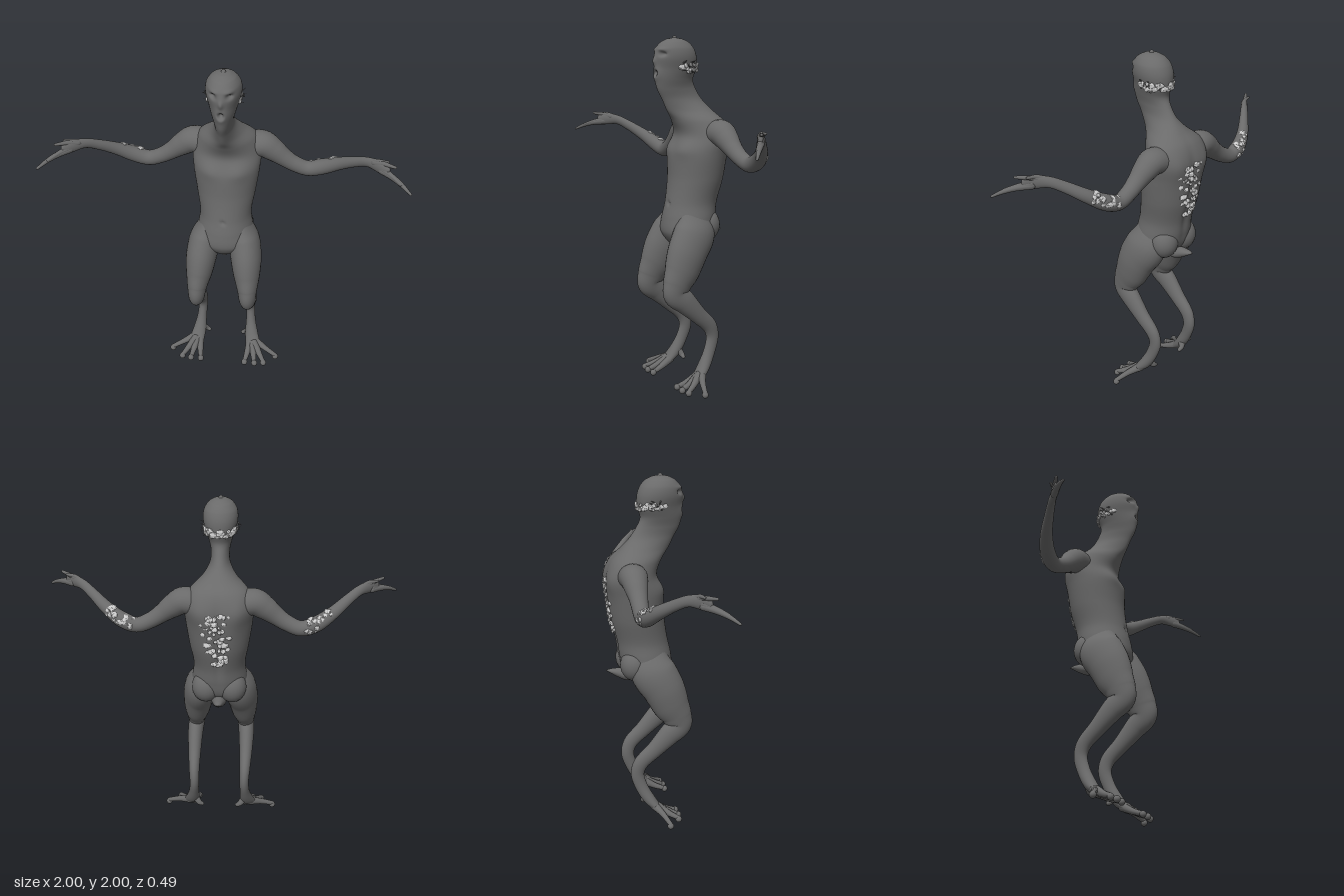
import * as THREE from 'three';
import { mergeGeometries } from 'three/addons/utils/BufferGeometryUtils.js';

const V = (x, y, z) => new THREE.Vector3(x, y, z);
const skin = new THREE.MeshStandardMaterial({ color: 0x6a6a6a });
const pale = new THREE.MeshStandardMaterial({ color: 0xcccccc });

let seed = 7;
const rnd = () => (seed = (seed * 16807) % 2147483647) / 2147483647;

// Smooth tube through stations [x, y, z, ru, rv, skew]; ru runs along ref.
// skew widens one side of the section; level keeps all sections horizontal.
function loft(stations, ref, { rings = 40, sides = 20, level = false, warp = null } = {}) {
  const path = new THREE.CatmullRomCurve3(stations.map(s => V(s[0], s[1], s[2])));
  const size = new THREE.CatmullRomCurve3(stations.map(s => V(s[3], s[4], s[5] || 0)), false, 'catmullrom');
  const frame = t => {
    const dir = level ? V(0, 1, 0) : path.getTangent(t);
    const u = ref.clone().addScaledVector(dir, -ref.dot(dir)).normalize();
    return { c: path.getPoint(t), r: size.getPoint(t), dir, u, v: dir.clone().cross(u) };
  };
  const at = (t, a, k = 1, push = 0) => {
    const f = frame(t), h = Math.min(f.r.x, f.r.y) * push;
    return f.c.addScaledVector(f.dir, h)
      .addScaledVector(f.u, f.r.x * k * Math.cos(a) * (1 + f.r.z * Math.sin(a)))
      .addScaledVector(f.v, f.r.y * k * Math.sin(a));
  };
  // rows: rounded start cap, body, rounded end cap
  const rows = [], cap = 5;
  for (let i = 0; i < cap; i++) { const q = (1 - i / cap) * 1.56; rows.push([0, Math.cos(q), -Math.sin(q)]); }
  for (let i = 0; i <= rings; i++) rows.push([i / rings, 1, 0]);
  for (let i = 1; i <= cap; i++) { const q = (i / cap) * 1.56; rows.push([1, Math.cos(q), Math.sin(q)]); }
  const pos = [], idx = [];
  rows.forEach(([t, k, push], i) => {
    for (let j = 0; j < sides; j++) {
      const p = at(t, (j / sides) * Math.PI * 2, k, push);
      if (warp) warp(p, (j / sides) * Math.PI * 2);
      pos.push(p.x, p.y, p.z);
      if (i === rows.length - 1) continue;
      const a = i * sides + j, b = i * sides + (j + 1) % sides;
      idx.push(a, b, a + sides, b, b + sides, a + sides);
    }
  });
  const geometry = new THREE.BufferGeometry();
  geometry.setAttribute('position', new THREE.Float32BufferAttribute(pos, 3));
  geometry.setIndex(idx);
  geometry.computeVertexNormals();
  return { geometry, at, path };
}

// Flat pebble lying on a surface, facing along normal n
function scale(p, n, r) {
  const g = new THREE.IcosahedronGeometry(r, 0);
  g.scale(0.6 + rnd() * 0.5, 0.8 + rnd() * 0.5, 0.45);
  g.rotateZ(rnd() * 6);
  g.applyQuaternion(new THREE.Quaternion().setFromUnitVectors(V(0, 0, 1), n.clone().normalize()));
  return g.translate(p.x, p.y, p.z);
}

// Soft bump used for face and muscle relief
const blob = (x, y, cx, cy, rx, ry) => Math.exp(-(((x - cx) / rx) ** 2) - ((y - cy) / ry) ** 2);

function relief(p, a) {
  const ax = Math.abs(p.x);
  if (Math.sin(a) < 0) {
    p.z += 0.014 * blob(p.x, p.y, 0, 1.862, 0.012, 0.022)      // nose
      + 0.008 * blob(ax, p.y, 0.04, 1.925, 0.025, 0.01)        // brows
      - 0.024 * blob(ax, p.y, 0.043, 1.9, 0.015, 0.012)        // eye sockets
      + 0.016 * blob(p.x, p.y, 0, 1.795, 0.032, 0.034)         // lips
      - 0.042 * blob(p.x, p.y, 0, 1.797, 0.014, 0.015)         // open mouth
      + 0.012 * blob(ax, p.y, 0.09, 1.38, 0.06, 0.05)          // chest
      - 0.012 * blob(p.x, p.y, 0, 1.065, 0.012, 0.012);        // navel
  } else {
    p.z += 0.016 * blob(p.x, p.y, 0, 1.22, 0.025, 0.24)        // spine furrow
      - 0.012 * blob(ax, p.y, 0.11, 1.42, 0.05, 0.08);         // shoulder blades
  }
}

export function createModel() {
  const root = new THREE.Group();
  const add = (name, geometry, material = skin, parent = root) => {
    const m = new THREE.Mesh(geometry, material);
    m.name = name;
    parent.add(m);
    return m;
  };

  // Torso, neck and head: [y, front z, back z, half width, skew to the back]
  const body = [
    [0.80, 0.07, -0.01, 0.025, 0], [0.84, 0.12, -0.07, 0.10, 0], [0.90, 0.155, -0.13, 0.165, 0],
    [0.98, 0.15, -0.155, 0.157, 0], [1.07, 0.13, -0.17, 0.147, 0], [1.20, 0.11, -0.205, 0.167, 0],
    [1.35, 0.10, -0.225, 0.187, 0], [1.45, 0.065, -0.225, 0.19, 0.1], [1.53, 0.095, -0.195, 0.155, 0.3],
    [1.59, 0.135, -0.14, 0.09, 0.4], [1.65, 0.165, -0.085, 0.055, 0.2], [1.71, 0.197, -0.045, 0.052, 0.1],
    [1.76, 0.208, -0.025, 0.063, 0.12], [1.82, 0.208, -0.042, 0.081, 0.15], [1.88, 0.213, -0.042, 0.094, 0.12],
    [1.93, 0.20, -0.025, 0.089, 0.08], [1.965, 0.168, 0.005, 0.066, 0], [1.983, 0.13, 0.045, 0.036, 0],
    [1.988, 0.1, 0.075, 0.012, 0]
  ];
  const torso = loft(body.map(([y, f, b, w, k]) => [0, y, (f + b) / 2, w, (f - b) / 2, k]), V(1, 0, 0),
    { rings: 200, sides: 80, level: true, warp: relief });
  add('bodyAndHead', torso.geometry);
  const onBody = (y, a) => {
    let lo = 0, hi = 1;
    for (let i = 0; i < 24; i++) { const m = (lo + hi) / 2; torso.path.getPoint(m).y < y ? lo = m : hi = m; }
    const p = torso.at(lo, a), n = p.clone().sub(torso.path.getPoint(lo)).setY(0);
    return { p, n };
  };

  // Stubby tail
  add('tail', loft([[0, 0.9, -0.04, 0.05, 0.05], [0, 0.855, -0.09, 0.045, 0.037], [0, 0.868, -0.15, 0.032, 0.028],
    [0, 0.88, -0.195, 0.02, 0.014], [0, 0.885, -0.222, 0.004, 0.004]], V(1, 0, 0)).geometry);

  for (const s of [1, -1]) {
    const side = s > 0 ? 'left' : 'right';
    const limb = (name, pts, ref, parent, opt) => {
      const l = loft(pts.map(([x, ...r]) => [x * s, ...r]), ref, opt);
      add(name, l.geometry, skin, parent);
      return l;
    };
    const digit = (name, pts, r, parent) => limb(name,
      pts.map((p, i) => [...p, r[i], r[i]]), V(0, 0.2, 1).normalize(), parent, { rings: 14, sides: 10 });

    // Buttock
    const seat = add(side + 'Buttock', new THREE.SphereGeometry(0.085, 24, 16));
    seat.scale.set(0.95, 1.1, 0.95);
    seat.position.set(0.075 * s, 0.935, -0.075);

    // Arm and hand
    const arm = new THREE.Group();
    arm.name = side + 'Arm';
    root.add(arm);
    const armLoft = limb('armAndPalm', [
      [0.10, 1.45, -0.10, 0.08, 0.07], [0.19, 1.468, -0.10, 0.078, 0.074], [0.25, 1.435, -0.10, 0.066, 0.066],
      [0.31, 1.39, -0.10, 0.052, 0.052], [0.37, 1.35, -0.103, 0.045, 0.045], [0.45, 1.32, -0.107, 0.042, 0.043],
      [0.53, 1.343, -0.098, 0.042, 0.045], [0.62, 1.395, -0.06, 0.034, 0.037], [0.71, 1.455, 0.005, 0.025, 0.03],
      [0.77, 1.487, 0.052, 0.021, 0.029], [0.83, 1.492, 0.10, 0.017, 0.036], [0.87, 1.487, 0.13, 0.012, 0.028]
    ], V(0, 0, 1), arm, { rings: 70, sides: 24 });
    digit('longFinger', [[0.84, 1.475, 0.105], [0.90, 1.466, 0.155], [0.95, 1.448, 0.20], [0.992, 1.424, 0.238]],
      [0.02, 0.016, 0.012, 0.007], arm);
    digit('middleFinger', [[0.84, 1.485, 0.105], [0.89, 1.475, 0.15], [0.94, 1.455, 0.20]], [0.018, 0.013, 0.008], arm);
    digit('upperFinger', [[0.80, 1.505, 0.08], [0.85, 1.518, 0.11], [0.905, 1.526, 0.15]], [0.018, 0.013, 0.008], arm);
    digit('thumb', [[0.78, 1.50, 0.06], [0.82, 1.52, 0.09], [0.87, 1.526, 0.10]], [0.016, 0.012, 0.007], arm);

    // Elbow scales
    const patch = [];
    for (let i = 0; i < 20; i++) {
      const t = (5.3 + rnd() * 1.6) / 11, a = Math.PI + s * (0.4 + (rnd() - 0.5) * 2);
      const p = armLoft.at(t, a);
      patch.push(scale(p, p.clone().sub(armLoft.path.getPoint(t)), 0.011 + rnd() * 0.008));
    }
    add('elbowScales', mergeGeometries(patch), pale, arm);

    // Leg and foot
    const leg = new THREE.Group();
    leg.name = side + 'Leg';
    root.add(leg);
    limb('thighAndShin', [
      [0.09, 0.99, 0.0, 0.055, 0.10], [0.112, 0.90, 0.025, 0.088, 0.128], [0.13, 0.80, 0.082, 0.09, 0.122],
      [0.14, 0.70, 0.125, 0.077, 0.108], [0.147, 0.63, 0.16, 0.06, 0.088], [0.15, 0.575, 0.172, 0.05, 0.075],
      [0.155, 0.52, 0.115, 0.046, 0.066], [0.155, 0.43, 0.025, 0.038, 0.05], [0.152, 0.35, -0.055, 0.031, 0.044],
      [0.15, 0.285, -0.074, 0.028, 0.039], [0.155, 0.20, -0.05, 0.029, 0.036], [0.165, 0.12, -0.005, 0.04, 0.034],
      [0.18, 0.065, 0.045, 0.046, 0.022]
    ], V(1, 0, 0), leg, { rings: 90, sides: 28 });
    const toes = [
      [[0.185, 0.085, 0.02], [0.25, 0.06, 0.055], [0.325, 0.028, 0.085]],
      [[0.185, 0.08, 0.04], [0.225, 0.045, 0.10], [0.255, 0.025, 0.15]],
      [[0.175, 0.075, 0.04], [0.19, 0.04, 0.11], [0.20, 0.02, 0.16]],
      [[0.16, 0.075, 0.03], [0.148, 0.04, 0.10], [0.138, 0.02, 0.158]]
    ];
    toes.forEach((p, i) => {
      digit('toe' + (i + 1), p, [0.026, 0.018, 0.013], leg);
      const tip = add('toePad', new THREE.SphereGeometry(0.019, 14, 10), skin, leg);
      tip.position.set(p[2][0] * s, 0.018, p[2][2]);
    });
    digit('backToe', [[0.15, 0.13, -0.02], [0.125, 0.10, -0.035], [0.108, 0.09, -0.035]], [0.024, 0.017, 0.012], leg);

    // Bristles at the temple
    const tuft = [];
    for (let i = 0; i < 9; i++) {
      const { p, n } = onBody(1.80 + rnd() * 0.06, (s > 0 ? 0 : Math.PI) + s * (rnd() * 0.6 - 0.1));
      const g = new THREE.ConeGeometry(0.006, 0.04, 5).translate(0, 0.012, 0);
      n.normalize().add(V(0, rnd() * 1.2 - 0.7, -0.3));
      g.applyQuaternion(new THREE.Quaternion().setFromUnitVectors(V(0, 1, 0), n.normalize()));
      tuft.push(g.translate(p.x, p.y, p.z));
    }
    add(side + 'TempleBristles', mergeGeometries(tuft));
  }

  // Band of scales around the back of the head
  const band = [];
  for (let i = 0; i < 44; i++) {
    const { p, n } = onBody(1.825 + (rnd() - 0.5) * 0.035, -0.1 + (i / 43) * (Math.PI + 0.2));
    band.push(scale(p.addScaledVector(n, 0.04), n, 0.012 + rnd() * 0.007));
  }
  add('headScales', mergeGeometries(band), pale);

  // Scales down the back, thinning toward the waist
  const back = [];
  for (let i = 0; i < 60; i++) {
    const f = Math.pow(rnd(), 1.5), spread = 1.2 - 0.7 * f;
    const { p, n } = onBody(1.43 - 0.32 * f, Math.PI / 2 + (rnd() - 0.5) * spread);
    back.push(scale(p, n.add(V(0, 0.05, 0)), 0.011 + rnd() * 0.01));
  }
  add('backScales', mergeGeometries(back), pale);
  return root;
}
